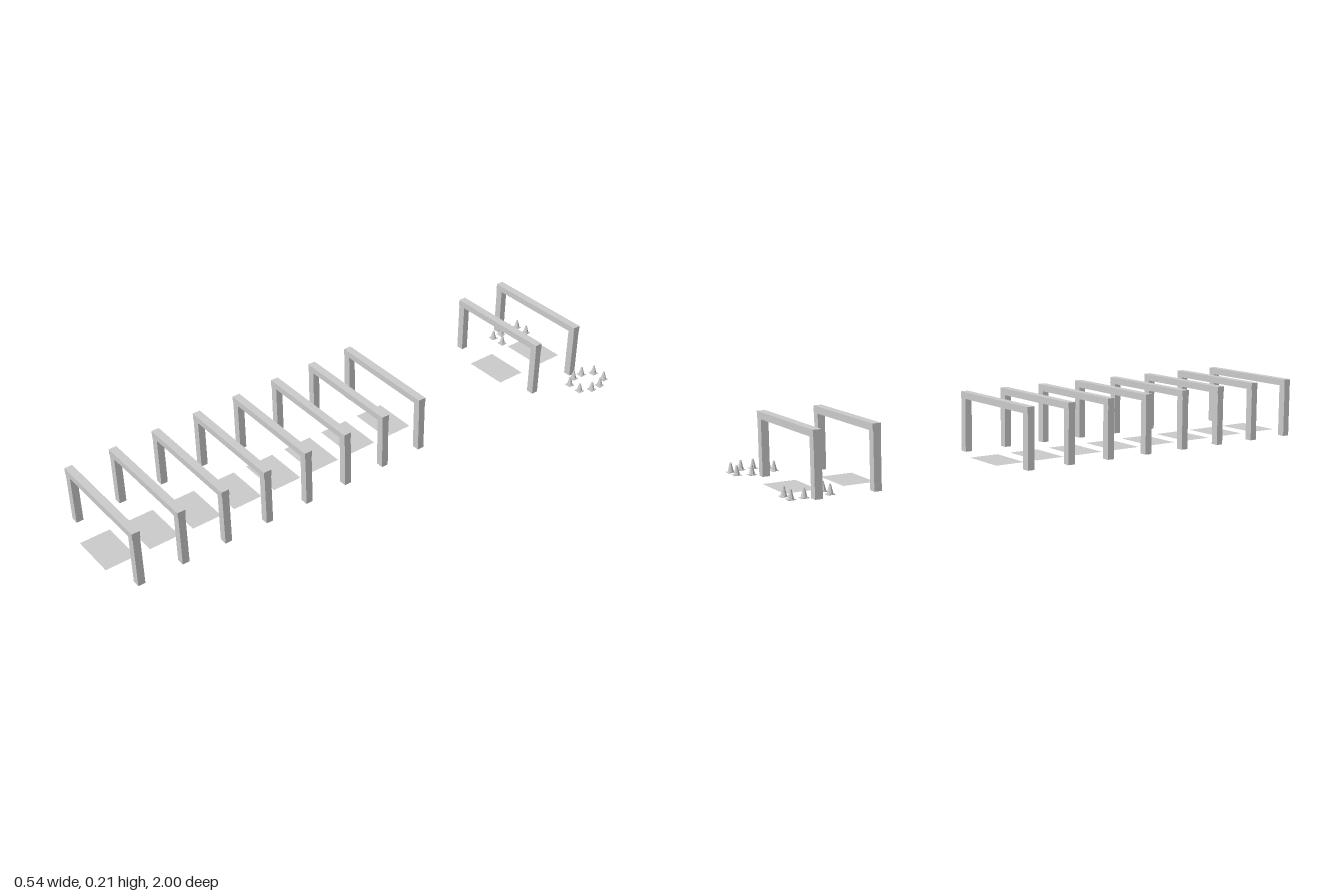
import * as THREE from 'three';

export function createModel() {
  const root = new THREE.Group();
  root.name = 'gateCourse';
  const grey = new THREE.MeshStandardMaterial({ color: 0xcccccc, flatShading: true });
  const thin = new THREE.MeshStandardMaterial({ color: 0xcccccc, side: THREE.DoubleSide });

  const add = (parent, name, geometry, x, y, z, material = grey) => {
    const mesh = new THREE.Mesh(geometry, material);
    mesh.name = name;
    mesh.position.set(x, y, z);
    parent.add(mesh);
  };

  // Gate: two square posts, a crossbeam and a flat ground pad
  const W = 0.411, H = 0.207, POST = 0.027, BEAM = 0.023;
  const postGeo = new THREE.BoxGeometry(POST, H - BEAM, 0.025);
  const beamGeo = new THREE.BoxGeometry(W, BEAM, 0.028);
  const padGeo = new THREE.PlaneGeometry(0.163, 0.109).rotateX(-Math.PI / 2);

  function makeGate(z) {
    const gate = new THREE.Group();
    gate.name = 'gate';
    for (const side of [-1, 1]) {
      add(gate, side > 0 ? 'leftPost' : 'rightPost', postGeo, side * (W - POST) / 2, (H - BEAM) / 2, 0);
    }
    add(gate, 'crossbeam', beamGeo, 0, H - BEAM / 2, 0);
    add(gate, 'groundPad', padGeo, -0.001, 0.0005, 0, thin);
    gate.position.set(-0.0645, 0, z);
    root.add(gate);
  }

  // Eight evenly spaced gates, then two set apart at the back
  for (let i = 0; i < 8; i++) makeGate(0.945 - i * 0.16);
  makeGate(-0.725);
  makeGate(-0.918);

  // Small cone on a square foot
  const footGeo = new THREE.BoxGeometry(0.024, 0.002, 0.024);
  const coneGeo = new THREE.CylinderGeometry(0.0028, 0.0105, 0.03, 8);

  function makeCone(x, z) {
    const cone = new THREE.Group();
    cone.name = 'cone';
    add(cone, 'coneFoot', footGeo, 0, 0.001, 0);
    add(cone, 'coneBody', coneGeo, 0, 0.017, 0);
    cone.position.set(x, 0, z);
    root.add(cone);
  }

  // Cone rows: a bracket on the right, a ring on the left
  [-0.988, -0.946, -0.904, -0.862].forEach((z, row) => {
    const outer = row === 0 || row === 3;
    const xs = outer ? [-0.228, -0.178, 0.185, 0.235] : [-0.228, 0.163, 0.256];
    xs.forEach((x) => makeCone(x, z));
  });

  return root;
}
